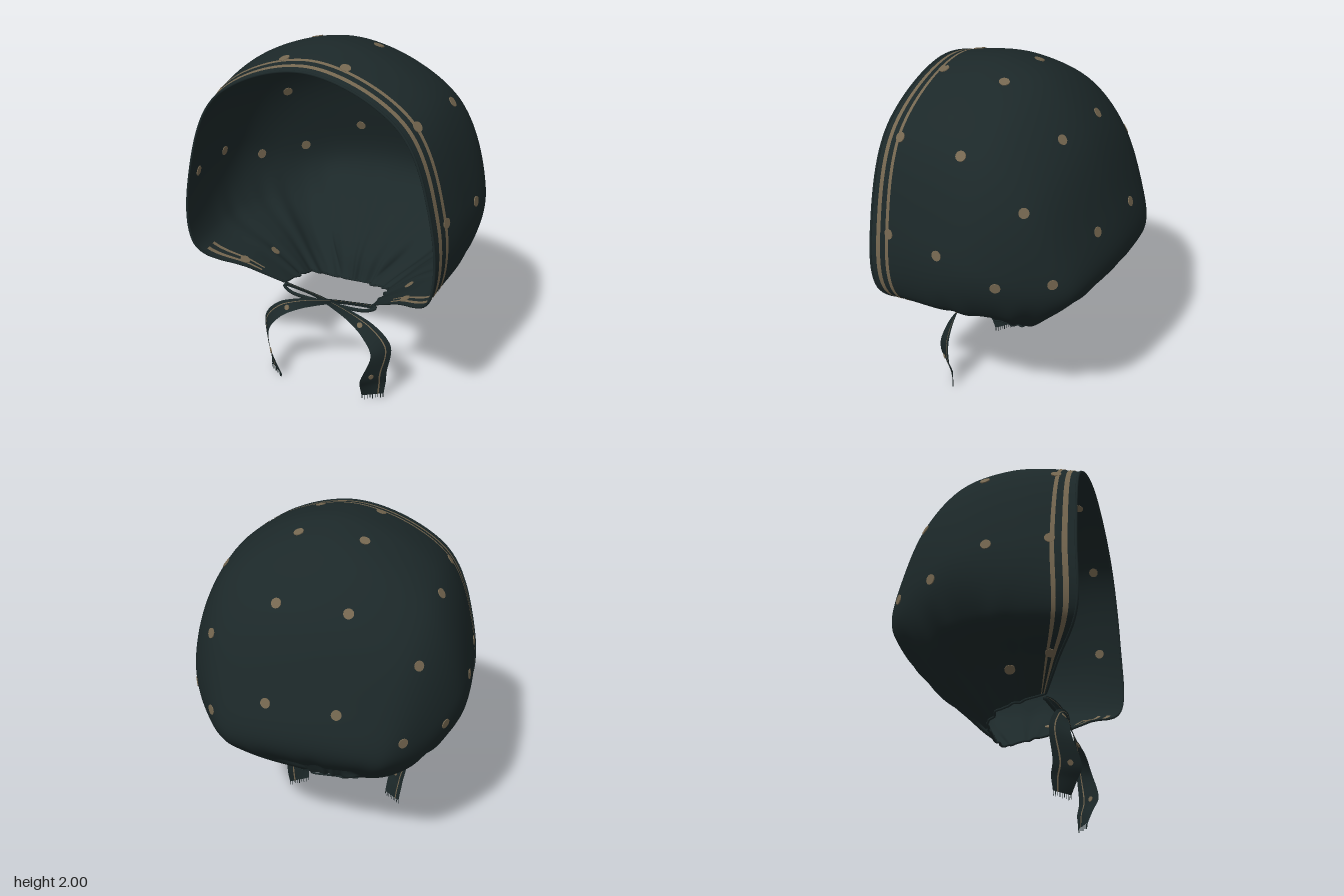
import * as THREE from 'three';

const V = (x, y, z) => new THREE.Vector3(x, y, z);
const spline = pts => new THREE.CatmullRomCurve3(pts, false, 'catmullrom', 0.5);

// Guide lines of the hood, all running from the front rim to the nape
const crown = spline([
  V(0, 1.94, 0.55), V(0, 1.985, 0.37), V(0, 2, 0.15), V(0, 1.92, -0.12), V(0, 1.68, -0.35),
  V(0, 1.35, -0.49), V(0, 1.04, -0.565), V(0, 0.83, -0.43), V(0, 0.625, -0.15), V(0, 0.47, -0.055),
]);
const cheek = spline([
  V(0.7, 1.25, 0.56), V(0.75, 1.25, 0.24), V(0.748, 1.21, -0.08), V(0.62, 1.09, -0.33),
  V(0.45, 0.92, -0.46), V(0.29, 0.69, -0.26), V(0.1, 0.47, -0.053),
]);
const jaw = spline([
  V(0.695, 0.835, 0.55), V(0.705, 0.87, 0.1), V(0.585, 0.84, -0.22), V(0.4, 0.69, -0.24), V(0.14, 0.472, -0.05),
]);
const neck = spline([V(0.28, 0.575, 0.3), V(0.27, 0.55, 0.17), V(0.25, 0.52, 0.04), V(0.18, 0.476, -0.04)]);

// Hoop over the head at s (0 rim, 1 nape), from one neck edge over the crown to the other
function hoop(s) {
  const [a, c, d, e] = [crown, cheek, jaw, neck].map(g => g.getPoint(s));
  const shoulder = c.clone().lerp(a, 0.7);
  shoulder.x = c.x * 0.73;
  const half = [shoulder, c, d, d.clone().lerp(e, 0.58), e];
  const mirrored = half.map(p => V(-p.x, p.y, p.z)).reverse();
  return spline([...mirrored, a, ...half]);
}

// Small gathers radiating from the neck
function gather(p, s) {
  const dx = p.x, dz = p.z - 0.12;
  const r = Math.hypot(dx, dz);
  const phi = Math.atan2(dx, -dz);
  const fade = THREE.MathUtils.smoothstep(1.02 - p.y, 0, 0.3) * THREE.MathUtils.smoothstep(s, 0.08, 0.28);
  const fold = 0.008 * fade * (Math.sin(phi * 19) + 0.5 * Math.sin(phi * 31 + 1));
  return p.add(V(fold * dx / r, 0, fold * dz / r));
}

// Grid surface; isTrim(row, column) picks the printed cells
function gridGeometry(rows, isTrim) {
  const n = rows[0].length;
  const cells = [[], []];
  for (let i = 0; i < rows.length - 1; i++) {
    for (let j = 0; j < n - 1; j++) {
      const a = i * n + j, b = a + 1, c = a + n, d = c + 1;
      cells[isTrim(i, j) ? 1 : 0].push(a, b, d, a, d, c);
    }
  }
  const geo = new THREE.BufferGeometry().setFromPoints(rows.flat());
  geo.setIndex(cells.flat());
  geo.addGroup(0, cells[0].length, 0);
  geo.addGroup(cells[0].length, cells[1].length, 1);
  geo.computeVertexNormals();
  return geo;
}

export function createModel() {
  const group = new THREE.Group();
  const cloth = new THREE.MeshStandardMaterial({ color: 0x1c2829, side: THREE.DoubleSide });
  cloth.name = 'dark cloth';
  const trim = new THREE.MeshStandardMaterial({ color: 0x756750, side: THREE.DoubleSide });
  trim.name = 'tan print';
  const add = (name, geo, mat) => {
    const mesh = new THREE.Mesh(geo, mat);
    mesh.name = name;
    group.add(mesh);
    return mesh;
  };

  // Hood; rows start and end on the stripe edges, and the print shows through near the jaw
  const steps = [0, 0.011, 0.022, 0.037, 0.047, 0.056, 0.068, 0.078, 0.09];
  for (let k = 0; k <= 64; k++) steps.push(0.11 + 0.89 * k / 64);
  const rows = steps.map(s => hoop(s).getPoints(200).map(p => gather(p, s)));
  const stripeRows = [2, 5];
  const nearJaw = j => Math.abs(j - 99.5) > 64 && Math.abs(j - 99.5) < 86;
  const hood = add('hood', gridGeometry(rows, (i, j) => stripeRows.includes(i) && nearJaw(j)), [cloth, trim]);
  const normals = hood.geometry.attributes.normal;
  const normalAt = i => new THREE.Vector3().fromBufferAttribute(normals, i);

  // Two printed stripes on the outside, just behind the rim
  for (const i of stripeRows) {
    const lifted = [i, i + 1].map(r => rows[r].map((p, j) => p.clone().addScaledVector(normalAt(r * 201 + j), 0.003)));
    add('rimStripe', gridGeometry(lifted, () => true), [cloth, trim]);
  }

  // Rolled hem round the face and the neck
  const addCord = (name, pts, r) => add(name, new THREE.TubeGeometry(spline(pts), 160, r, 6), cloth);
  addCord('rimHem', rows[0].filter((_, i) => i % 5 === 0), 0.007);
  const sides = rows.slice(0, -1);
  addCord('neckHem', [
    ...sides.map(r => r[0]),
    ...rows.at(-1).filter((_, i) => i % 20 === 0),
    ...sides.map(r => r[200]).reverse(),
  ], 0.007);

  // Thin printed dots lying in the cloth, showing on both faces
  const dotGeometry = new THREE.CylinderGeometry(0.028, 0.028, 0.008, 14);
  const addDot = (name, pos, normal, scale) => {
    const dot = add(name, dotGeometry, trim);
    dot.position.copy(pos);
    dot.quaternion.setFromUnitVectors(V(0, 1, 0), normal);
    dot.scale.set(scale, 1, scale);
  };
  const vertices = rows.flat();
  const dotSpots = [
    V(0.2, 2, 0.06), V(0.6, 1.72, 0.06), V(0.77, 1.22, 0.11), V(0.45, 0.64, 0.16),
    V(0.2, 1.75, -0.3), V(0.55, 1.48, -0.28), V(0.72, 1.08, -0.21),
    V(0.2, 1.26, -0.5), V(0.5, 1.09, -0.4),
    V(0.19, 1.97, 0.435), V(0.55, 1.72, 0.435), V(0.74, 1.24, 0.44), V(0.5, 0.7, 0.37),
  ];
  for (const side of [1, -1]) {
    for (const spot of dotSpots) {
      const target = V(spot.x * side, spot.y, spot.z);
      let best = 0;
      vertices.forEach((p, i) => {
        if (p.distanceToSquared(target) < vertices[best].distanceToSquared(target)) best = i;
      });
      addDot('hoodDot', vertices[best], normalAt(best), 1);
    }
  }

  // Ties: ribbons crossing under the chin, given by a centre line and half-width vectors
  const centre = spline([
    V(-0.28, 0.555, 0.285), V(-0.19, 0.565, 0.315), V(-0.07, 0.56, 0.335), V(0.05, 0.535, 0.35), V(0.17, 0.495, 0.36),
    V(0.28, 0.435, 0.37), V(0.355, 0.33, 0.375), V(0.325, 0.18, 0.4), V(0.312, 0.1, 0.38), V(0.305, 0.028, 0.367),
  ]);
  const halfWidth = spline([
    V(0, 0.014, 0), V(0, 0.016, 0.006), V(0.008, 0.026, -0.006),
    V(0.03, 0.022, -0.04), V(0.052, 0, -0.064), V(0.052, 0, -0.036),
  ]);
  const across = [-1, -0.5, 0, 0.42, 0.54, 1];
  for (const side of [1, -1]) {
    const flip = p => V(p.x * side, p.y, side > 0 ? p.z : p.z + 0.012);
    const at = (t, w) => flip(centre.getPoint(t).addScaledVector(halfWidth.getPoint(t), w));
    const ribbon = Array.from({ length: 61 }, (_, i) => across.map(w => at(i / 60, w)));
    add(side > 0 ? 'leftTie' : 'rightTie', gridGeometry(ribbon, (i, j) => j === 3), [cloth, trim]);
    for (const t of [0.5, 0.78]) {
      const along = at(t + 0.01, 0).sub(at(t - 0.01, 0));
      const wide = at(t, 1).sub(at(t, -1));
      addDot('tieDot', at(t, -0.2), along.cross(wide).normalize(), 0.55);
    }

    // Frayed threads at the cut end
    for (let k = 0; k < 9; k++) {
      const length = 0.02 + 0.004 * ((k * 5) % 3);
      const thread = add('fringeThread', new THREE.BoxGeometry(0.003, length, 0.003), cloth);
      thread.position.copy(at(1, -0.95 + k * 0.2375));
      thread.position.y -= length / 2;
    }
  }

  // Lower strand of the bow, tucked behind the crossing ribbons
  addCord('bowStrand', [
    V(-0.265, 0.565, 0.29), V(-0.28, 0.545, 0.3), V(-0.2, 0.525, 0.32), V(0, 0.53, 0.335),
    V(0.2, 0.525, 0.32), V(0.28, 0.545, 0.3), V(0.265, 0.565, 0.29),
  ], 0.01);
  return group;
}
